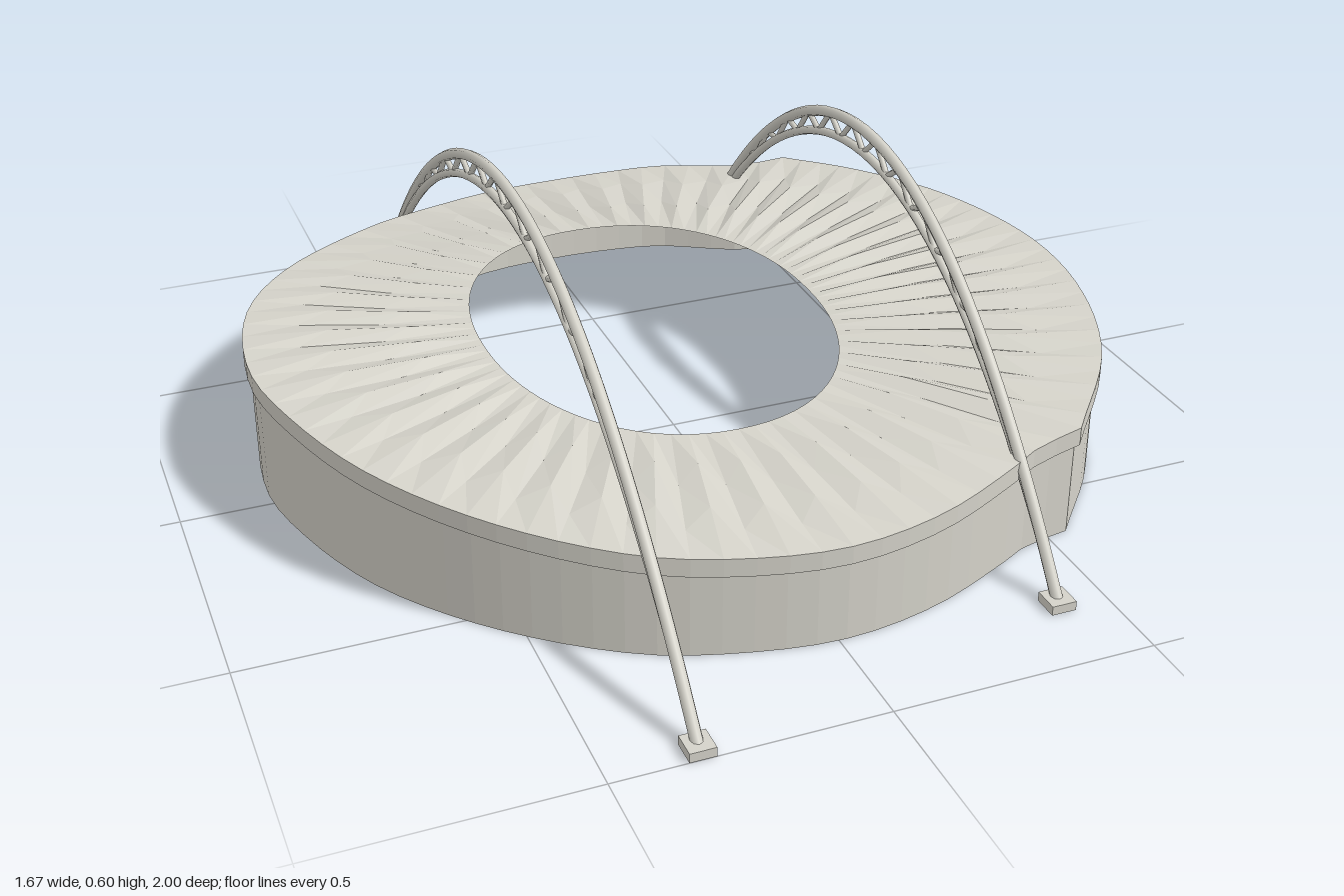
import * as THREE from 'three';

const concrete = new THREE.MeshStandardMaterial({ color: 0xd4d2c9, side: THREE.DoubleSide });
concrete.name = 'pale concrete';

function addMesh(parent, geometry, name) {
  const mesh = new THREE.Mesh(geometry, concrete);
  mesh.name = name;
  parent.add(mesh);
  return mesh;
}

// Plan outline: a broad left sweep and a right bay meeting at two corners
const rightBay = [[.55, -.705], [.66, -.56], [.77, -.34], [.83, -.05], [.81, .19], [.72, .43], [.55, .64]];
const leftSweep = [[.55, .64], [.45, .66], [.39, .69], [.2, .77], [.01, .8], [-.18, .77], [-.34, .71],
  [-.55, .55], [-.71, .35], [-.8, .135], [-.835, -.05], [-.79, -.31], [-.66, -.52], [-.43, -.71],
  [-.29, -.775], [-.13, -.825], [.04, -.838], [.18, -.83], [.28, -.81], [.38, -.755], [.45, -.72], [.55, -.705]];

function sample(points, count) {
  const curve = new THREE.CatmullRomCurve3(points.map(([x, z]) => new THREE.Vector3(x, 0, z)));
  return curve.getSpacedPoints(count).slice(0, count);
}
const outline = [...sample(rightBay, 30), ...sample(leftSweep, 66)];

const rimHeight = (x) => .197 + .068 * (x / .84) ** 2;

// Slightly squared oval opening, met along rays from its centre
function openingPoint(p) {
  const cx = -.04, cz = -.025, e = 2.15;
  const a = Math.atan2(p.z - cz, p.x - cx), c = Math.cos(a), s = Math.sin(a);
  const r = (Math.abs(c / .345) ** e + Math.abs(s / .455) ** e) ** (-1 / e);
  const x = cx + r * c;
  return new THREE.Vector3(x, .235 + .01 * (x / .38) ** 2, cz + r * s);
}

// Faceted surface through successive closed rings
function loft(rings) {
  const n = rings[0].length, positions = [], index = [];
  rings.forEach((ring) => ring.forEach((p) => positions.push(p.x, p.y, p.z)));
  for (let r = 0; r < rings.length - 1; r++) {
    for (let i = 0; i < n; i++) {
      const j = (i + 1) % n, a = r * n + i, b = a + n, c = (r + 1) * n + j, d = r * n + j;
      index.push(a, b, c, a, c, d);
    }
  }
  const indexed = new THREE.BufferGeometry();
  indexed.setAttribute('position', new THREE.Float32BufferAttribute(positions, 3));
  indexed.setIndex(index);
  const geometry = indexed.toNonIndexed();
  geometry.computeVertexNormals();
  return geometry;
}

const ringAt = (scale, height) => outline.map((p) => new THREE.Vector3(p.x * scale, height(p.x), p.z * scale));

function createBowl() {
  const bowl = new THREE.Group();
  bowl.name = 'bowl';
  const eave = (x) => rimHeight(x) - .036;
  addMesh(bowl, loft([ringAt(.988, () => 0), ringAt(.988, eave)]), 'outerWall');
  addMesh(bowl, loft([ringAt(.988, eave), ringAt(1, eave), ringAt(1, rimHeight)]), 'roofFascia');

  // Pleated roof: ridges and valleys alternate, fading out at both rims
  const rim = ringAt(1, rimHeight), opening = outline.map(openingPoint);
  const rows = [0, .3, .65, 1].map((t) => rim.map((p, i) => {
    const ridge = i % 2 ? -1 : 1;
    const along = t > 0 && t < 1 ? t + ridge * .07 : t;
    const q = p.clone().lerp(opening[i], along);
    q.y += Math.sin(t * Math.PI) * (.003 + .007 * ridge);
    return q;
  }));
  addMesh(bowl, loft(rows), 'pleatedRoof');
  return bowl;
}

// Straight round bar between two points
function addBar(parent, a, b, radius, name) {
  const bar = addMesh(parent, new THREE.CylinderGeometry(radius, radius, a.distanceTo(b), 6), name);
  bar.position.copy(a).add(b).multiplyScalar(.5);
  bar.quaternion.setFromUnitVectors(new THREE.Vector3(0, 1, 0), b.clone().sub(a).normalize());
}

// Parabolic truss with two chords that meet at the feet
function createArch(x, foot, name) {
  const arch = new THREE.Group();
  arch.name = name;
  const chord = (apex, t) => new THREE.Vector3(0, .01 + (apex - .01) * (1 - t * t), foot * t);
  const upper = .588, lower = .54;
  for (const [apex, radius, part] of [[upper, .0115, 'upperChord'], [lower, .009, 'lowerChord']]) {
    const points = Array.from({ length: 33 }, (_, i) => chord(apex, i / 16 - 1));
    addMesh(arch, new THREE.TubeGeometry(new THREE.CatmullRomCurve3(points), 48, radius, 8), part);
  }
  const bays = 32;
  for (let i = 2; i < bays - 2; i++) {
    const t = (k) => (k / bays) * 2 - 1;
    const heights = i % 2 ? [upper, lower] : [lower, upper];
    addBar(arch, chord(heights[0], t(i)), chord(heights[1], t(i + 1)), .006, 'diagonalBrace');
  }
  for (const side of [-1, 1]) {
    const pad = addMesh(arch, new THREE.BoxGeometry(.048, .018, .05), 'footPad');
    pad.position.set(0, .009, side * foot);
  }
  arch.position.x = x;
  return arch;
}

export function createModel() {
  const model = new THREE.Group();
  model.name = 'stadium';
  model.add(createBowl());
  model.add(createArch(-.338, .975, 'rightArch'));
  model.add(createArch(.405, .835, 'leftArch'));
  return model;
}
